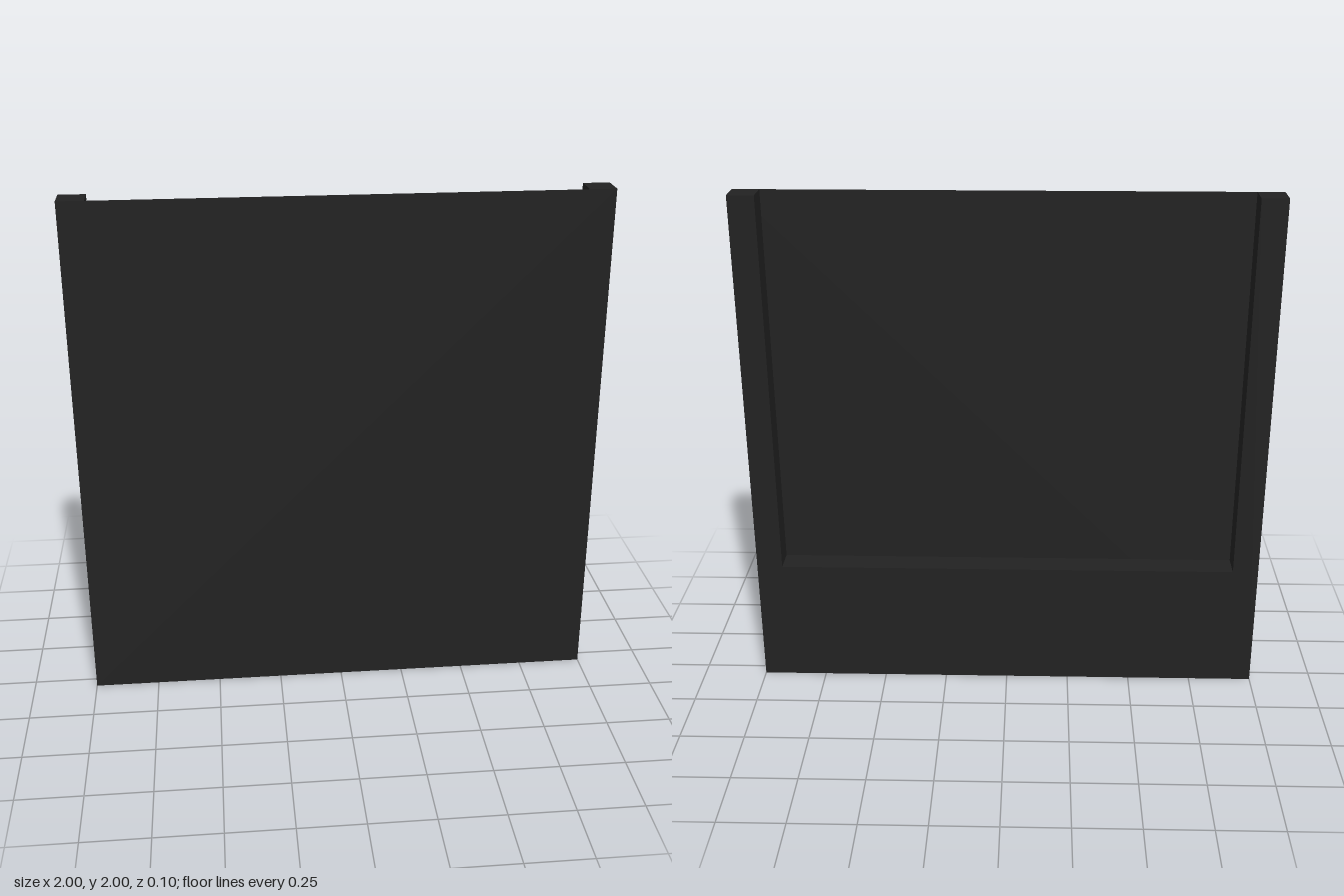
import * as THREE from 'three';

const HALF = 1, HEIGHT = 2, DEPTH = 0.1, Z = DEPTH / 2;
const RAIL = 0.9;   // inner edge of the side rails
const SILL = 0.5;   // height of the recess floor

export function createModel() {
  const group = new THREE.Group();
  group.name = 'recessedPanel';

  const charcoal = new THREE.MeshStandardMaterial({ color: 0x222222, side: THREE.DoubleSide });
  charcoal.name = 'charcoal';

  const add = (name, geometry, position, rotation = [0, 0, 0]) => {
    const mesh = new THREE.Mesh(geometry, charcoal);
    mesh.name = name;
    mesh.position.set(...position);
    mesh.rotation.set(...rotation);
    group.add(mesh);
  };

  // Full front sheet
  add('frontSheet', new THREE.PlaneGeometry(HALF * 2, HEIGHT), [0, HEIGHT / 2, Z]);

  // U-shaped back sheet: bottom apron and two side rails
  const outline = new THREE.Shape([
    [-HALF, 0], [HALF, 0], [HALF, HEIGHT], [RAIL, HEIGHT],
    [RAIL, SILL], [-RAIL, SILL], [-RAIL, HEIGHT], [-HALF, HEIGHT],
  ].map(([x, y]) => new THREE.Vector2(x, y)));
  add('backFrame', new THREE.ShapeGeometry(outline), [0, 0, -Z], [0, Math.PI, 0]);

  // Floor of the recess
  add('recessFloor', new THREE.PlaneGeometry(RAIL * 2, DEPTH), [0, SILL, 0], [-Math.PI / 2, 0, 0]);

  // Recess walls and rail caps; outer sides and underside stay open
  for (const [side, s] of [['left', 1], ['right', -1]]) {
    add(side + 'RecessWall', new THREE.PlaneGeometry(DEPTH, HEIGHT - SILL),
      [s * RAIL, (HEIGHT + SILL) / 2, 0], [0, -s * Math.PI / 2, 0]);
    add(side + 'RailCap', new THREE.PlaneGeometry(HALF - RAIL, DEPTH),
      [s * (HALF + RAIL) / 2, HEIGHT, 0], [-Math.PI / 2, 0, 0]);
  }
  return group;
}
